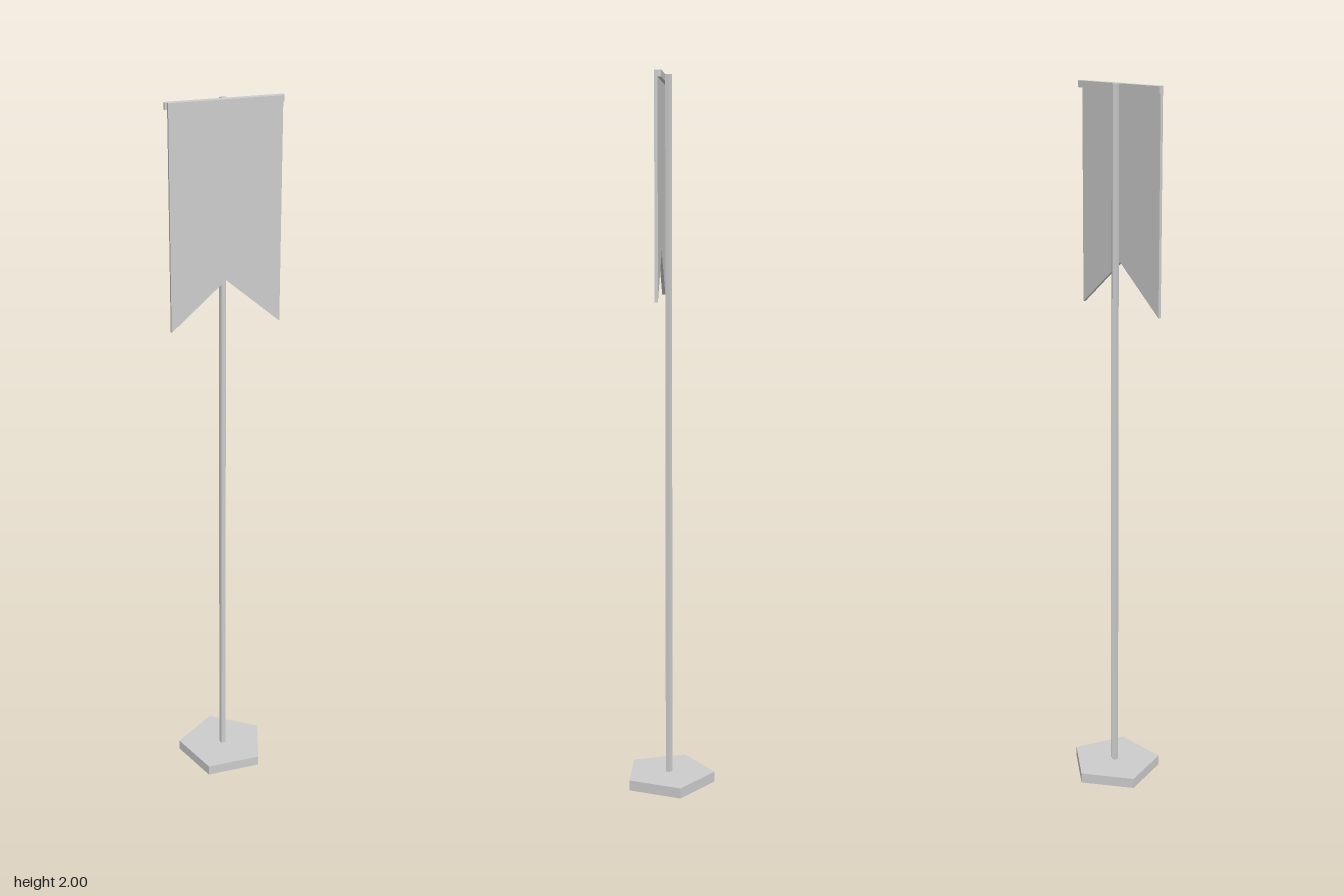
import * as THREE from 'three';

export function createModel() {
  const group = new THREE.Group();
  const material = new THREE.MeshStandardMaterial({ color: 0xcccccc, flatShading: true });
  const add = (name, geometry, x, y, z) => {
    const mesh = new THREE.Mesh(geometry, material);
    mesh.name = name;
    mesh.position.set(x, y, z);
    group.add(mesh);
    return mesh;
  };

  // Five-sided upright prism with its point to the back
  const axisZ = 0.0115;
  const prism = (name, radius, bottom, top) => {
    const geometry = new THREE.CylinderGeometry(radius, radius, top - bottom, 5);
    geometry.rotateY(Math.PI);
    return add(name, geometry, 0, (bottom + top) / 2, axisZ);
  };
  prism('base', 0.133, 0, 0.03);
  prism('pole', 0.0102, 0.03, 2);

  // Crossbar fixed to the front of the pole
  add('crossbar', new THREE.BoxGeometry(0.312, 0.018, 0.01), 0, 1.991, 0.025);

  // Swallow-tailed banner hanging in front of the crossbar
  const outline = new THREE.Shape([
    [-0.15, 2], [-0.15, 1.4], [0, 1.53], [0.15, 1.4], [0.15, 2],
  ].map(([x, y]) => new THREE.Vector2(x, y)));
  add('banner', new THREE.ExtrudeGeometry(outline, { depth: 0.009, bevelEnabled: false }), 0, 0, 0.03);

  return group;
}
